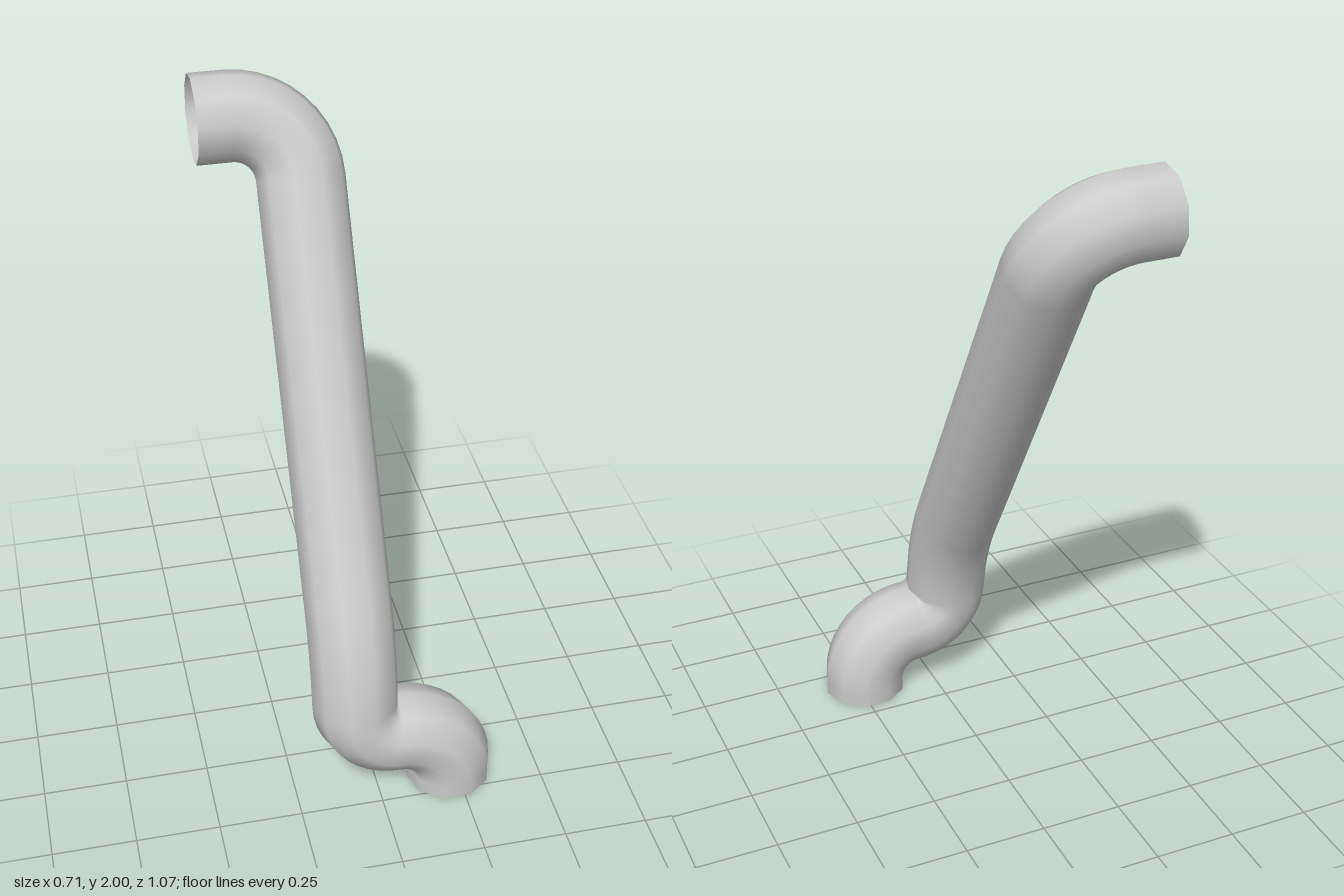
import * as THREE from 'three';

const RADIUS = 0.13, SIDES = 10;
const BEND_START = 0.23, BEND_RADIUS = 0.8, LEAN = Math.PI / 6;
const BEND_END = BEND_START + BEND_RADIUS * LEAN;

// Side profile of the run: upright, a gentle bend, then leaning back.
function profile(s) {
  const angle = THREE.MathUtils.clamp((s - BEND_START) / BEND_RADIUS, 0, LEAN);
  const rest = Math.max(0, s - BEND_END);
  return {
    angle,
    y: Math.min(s, BEND_START) + BEND_RADIUS * Math.sin(angle) + rest * Math.cos(angle),
    z: 0.41 - BEND_RADIUS * (1 - Math.cos(angle)) - rest * Math.sin(angle),
  };
}

// Path stations are [x, s, dx, ds], s being the length along the side profile.
function straight(x, s0, s1, steps) {
  return Array.from({ length: steps + 1 }, (_, i) => [x, s0 + (s1 - s0) * i / steps, 0, 1]);
}

// Quarter turn around a corner, from direction d0 to direction d1.
function turn(cx, cs, d0, d1, r, steps = 10) {
  return Array.from({ length: steps + 1 }, (_, i) => {
    const a = i / steps * Math.PI / 2, u = r * (Math.sin(a) - 1), v = r * (1 - Math.cos(a));
    return [
      cx + d0[0] * u + d1[0] * v,
      cs + d0[1] * u + d1[1] * v,
      d0[0] * Math.cos(a) + d1[0] * Math.sin(a),
      d0[1] * Math.cos(a) + d1[1] * Math.sin(a),
    ];
  });
}

// Open ten-sided pipe swept through the stations, with smooth radial normals.
function pipe(name, stations, material) {
  const positions = [], normals = [], indices = [];
  stations.forEach(([x, s, dx, ds], i) => {
    const { y, z, angle } = profile(s);
    const centre = new THREE.Vector3(x, y, z);
    const along = new THREE.Vector3(dx, ds * Math.cos(angle), -ds * Math.sin(angle));
    const b = new THREE.Vector3(0, Math.sin(angle), Math.cos(angle));
    const u = b.clone().cross(along);
    for (let k = 0; k < SIDES; k++) {
      const a = k / SIDES * Math.PI * 2;
      const n = u.clone().multiplyScalar(Math.cos(a)).addScaledVector(b, Math.sin(a));
      normals.push(n.x, n.y, n.z);
      positions.push(...centre.clone().addScaledVector(n, RADIUS).toArray());
      if (i > 0) {
        const k1 = (k + 1) % SIDES, p = (i - 1) * SIDES, q = i * SIDES;
        indices.push(p + k, p + k1, q + k, p + k1, q + k1, q + k);
      }
    }
  });
  const geometry = new THREE.BufferGeometry();
  geometry.setAttribute('position', new THREE.Float32BufferAttribute(positions, 3));
  geometry.setAttribute('normal', new THREE.Float32BufferAttribute(normals, 3));
  geometry.setIndex(indices);
  const mesh = new THREE.Mesh(geometry, material);
  mesh.name = name;
  return mesh;
}

export function createModel() {
  const model = new THREE.Group();
  model.name = 'bentPipe';
  const material = new THREE.MeshStandardMaterial({ color: 0xcccccc, side: THREE.DoubleSide });
  const up = [0, 1], right = [-1, 0], x = -0.065;

  model.add(
    // Double elbow at the foot, offset sideways from the run
    pipe('lowerElbow', [
      [0.225, 0, 0, 1],
      ...turn(0.225, 0.21, up, right, 0.165),
      ...turn(x, 0.21, right, up, 0.125).slice(1),
      [x, 0.439, 0, 1],
    ], material),
    // Leaning run in three sections
    pipe('lowerBend', straight(x, 0.439, 0.753, 6), material),
    pipe('middlePipe', straight(x, 0.753, 1.371, 1), material),
    pipe('upperPipe', straight(x, 1.371, 1.763, 1), material),
    // Elbow at the top with its open mouth to the side
    pipe('upperElbow', [
      [x, 1.763, 0, 1],
      ...turn(x, 2.08, up, right, 0.19),
      [-0.358, 2.08, -1, 0],
    ], material),
  );
  return model;
}
